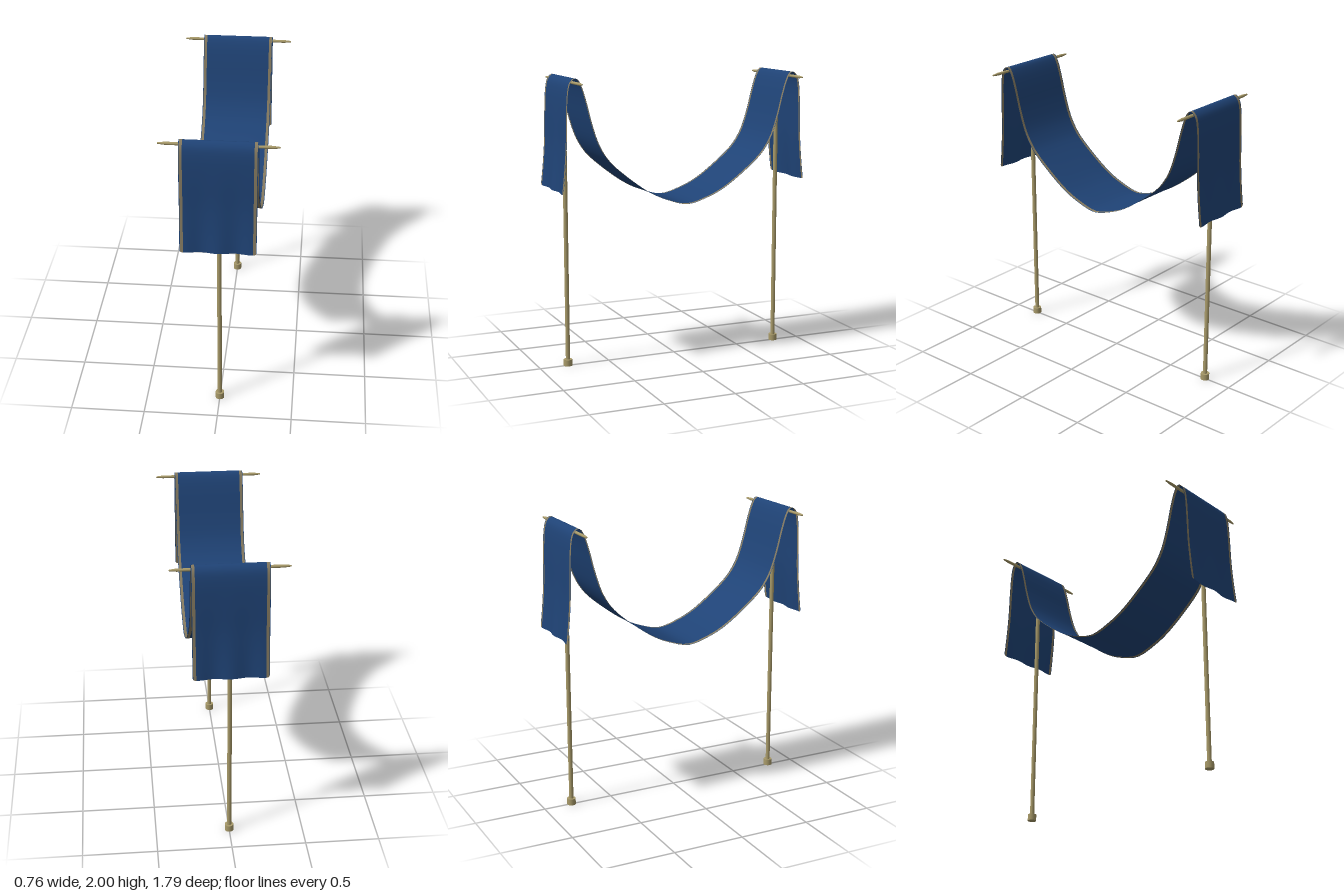
import * as THREE from 'three';

const blue = new THREE.MeshStandardMaterial({ color: 0x1f4376, side: THREE.DoubleSide });
blue.name = 'blue cloth';
const gold = new THREE.MeshStandardMaterial({ color: 0x857a60, side: THREE.DoubleSide });
gold.name = 'dull gold trim';
const wood = new THREE.MeshStandardMaterial({ color: 0xa89a69 });
wood.name = 'pale wood';

const HALF = 0.245; // half width of the cloth
const BAR_Z = 0.8, BAR_Y = 1.97;

// Half of the draped profile as [z, y], from the hanging hem to the middle of the sag
const half = [
  [0.887, 1.24], [0.873, 1.4], [0.863, 1.56], [0.859, 1.75], [0.851, 1.9], [0.837, 1.965],
  [0.815, 1.994], [0.8, 2.0], [0.782, 1.992], [0.758, 1.95], [0.726, 1.85], [0.69, 1.71],
  [0.643, 1.57], [0.595, 1.485], [0.545, 1.425], [0.407, 1.31], [0.27, 1.217], [0.16, 1.167], [0, 1.127],
];
const profile = [...half, ...half.slice(0, -1).reverse().map(([z, y]) => [-z, y])];
const curve = new THREE.CatmullRomCurve3(profile.map(([z, y]) => new THREE.Vector3(0, y, z)));
const samples = curve.getPoints(144);

// Point on the cloth: ripples and rounded corners toward the hems, edges drooping in the sag
function clothPoint(x, p) {
  const a = Math.abs(x);
  let { y, z } = p;
  if (Math.abs(z) > BAR_Z) {
    const w = Math.max(0, (1.95 - y) / 0.71);
    z += Math.sign(z) * 0.007 * w * w * Math.cos((2 * Math.PI * x) / 0.22);
    const c = Math.max(0, a - 0.225);
    y += (0.0205 - Math.sqrt(0.0205 ** 2 - c * c)) * w ** 8;
  } else {
    y -= 0.007 * (a / HALF) ** 4 * (1 - Math.abs(z) / BAR_Z);
  }
  return [x, y, z];
}

// Lengthwise strip of the cloth between two x positions, facing the outside of the drape
function strip(name, x0, x1, columns, material) {
  const pos = [], index = [];
  samples.forEach((p, r) => {
    for (let c = 0; c <= columns; c++) {
      pos.push(...clothPoint(x0 + ((x1 - x0) * c) / columns, p));
      if (r && c) {
        const d = r * (columns + 1) + c, b = d - columns - 1;
        index.push(b - 1, d - 1, b, b, d - 1, d);
      }
    }
  });
  const geo = new THREE.BufferGeometry();
  geo.setAttribute('position', new THREE.Float32BufferAttribute(pos, 3));
  geo.setIndex(index);
  geo.computeVertexNormals();
  const mesh = new THREE.Mesh(geo, material);
  mesh.name = name;
  return mesh;
}

function add(group, name, geo, x, y, z) {
  const mesh = new THREE.Mesh(geo, wood);
  mesh.name = name;
  mesh.position.set(x, y, z);
  group.add(mesh);
  return mesh;
}

export function createModel() {
  const model = new THREE.Group();
  model.name = 'drapedClothOnPoles';

  // Cloth: a wide centre with a trim band and narrow hem along each side
  const cloth = new THREE.Group();
  cloth.name = 'cloth';
  cloth.add(strip('clothCentre', -0.222, 0.222, 40, blue));
  for (const [side, s] of [['left', 1], ['right', -1]]) {
    const band = (name, a, b, m) => cloth.add(strip(side + name, Math.min(s * a, s * b), Math.max(s * a, s * b), 3, m));
    band('Trim', 0.222, 0.241, gold);
    band('Hem', 0.241, HALF, blue);
  }
  model.add(cloth);

  // Two stands: pole, foot and a crossbar with tapered tips
  for (const [name, s] of [['front', 1], ['back', -1]]) {
    const stand = new THREE.Group();
    stand.name = name + 'Stand';
    stand.position.z = s * BAR_Z;
    add(stand, 'pole', new THREE.CylinderGeometry(0.015, 0.015, 1.91, 16), 0, 0.99, 0);
    add(stand, 'poleTip', new THREE.CylinderGeometry(0.009, 0.015, 0.015, 16), 0, 1.9525, 0);
    add(stand, 'foot', new THREE.CylinderGeometry(0.03, 0.03, 0.045, 16), 0, 0.0225, 0);
    const bar = [[0, -0.378], [0.005, -0.376], [0.01, -0.33], [0.01, 0.33], [0.005, 0.376], [0, 0.378]];
    const barGeo = new THREE.LatheGeometry(bar.map(([r, y]) => new THREE.Vector2(r, y)), 12);
    add(stand, 'crossbar', barGeo, 0, BAR_Y, 0).rotation.z = Math.PI / 2;
    model.add(stand);
  }
  return model;
}
